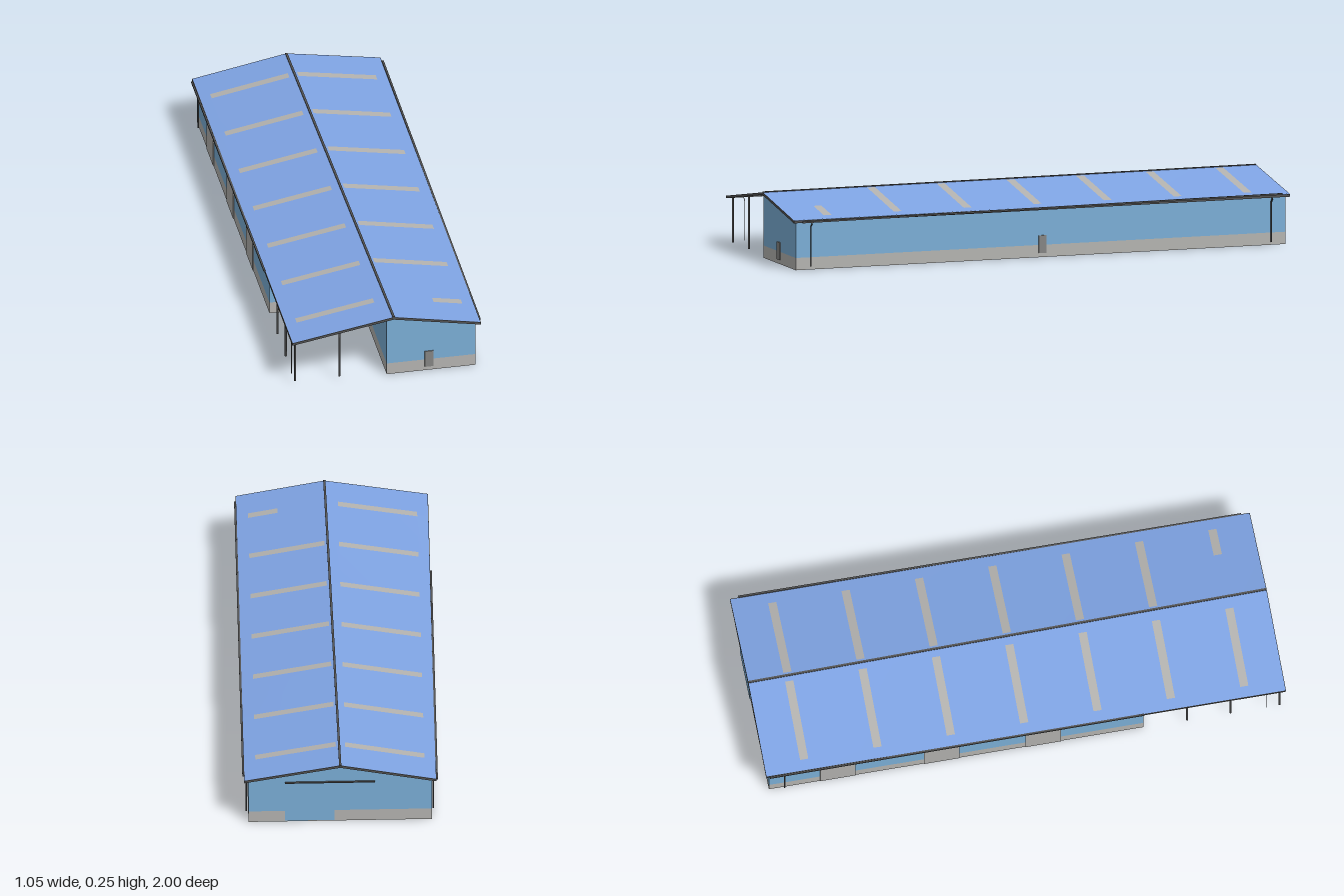
import * as THREE from 'three';

const mat = (name, color, side = THREE.FrontSide) => {
  const m = new THREE.MeshStandardMaterial({ color, side });
  m.name = name;
  return m;
};

export function createModel() {
  const root = new THREE.Group();
  root.name = 'longShed';
  const wallBlue = mat('wallBlue', 0x7cb0d8, THREE.DoubleSide);
  const plinthGrey = mat('plinthGrey', 0xb6b5b2, THREE.DoubleSide);
  const roofBlue = mat('roofBlue', 0x7fa4e4);
  const soffitGrey = mat('soffitGrey', 0x989896);
  const trimDark = mat('trimDark', 0x545454);
  const panelBeige = mat('panelBeige', 0xb3b2af);
  const doorGrey = mat('doorGrey', 0x868684);

  // Plan coordinates: u runs left wall to right wall, v runs back to front
  const P = (u, v, y = 0) =>
    new THREE.Vector3(-0.15 + 0.655 * u - 0.355 * v, y, -0.985 + 0.115 * u + 1.855 * v);
  const ridgeU = v => 0.5 + 0.04 * v;
  const roofY = (u, v) => {
    const r = ridgeU(v);
    return u < r ? 0.244 - 0.062 * (1 - u / r) : 0.244 - 0.057 * (u - r) / (1 - r);
  };
  const mix = THREE.MathUtils.lerp;

  const add = (name, geometry, material) => {
    const m = new THREE.Mesh(geometry, material);
    m.name = name;
    root.add(m);
    return m;
  };

  // Ruled sheet from f(s, t); its front is ds x dt; pick gives a cell its material
  function sheet(name, material, f, ns = 1, nt = 1, pick = null) {
    const pos = [], idx = [];
    const g = new THREE.BufferGeometry();
    for (let i = 0; i <= ns; i++)
      for (let j = 0; j <= nt; j++) pos.push(...f(i / ns, j / nt).toArray());
    for (let i = 0; i < ns; i++)
      for (let j = 0; j < nt; j++) {
        const a = i * (nt + 1) + j, b = a + nt + 1;
        if (pick) g.addGroup(idx.length, 6, pick(i, j));
        idx.push(a, b, b + 1, a, b + 1, a + 1);
      }
    g.setAttribute('position', new THREE.Float32BufferAttribute(pos, 3));
    g.setIndex(idx);
    g.computeVertexNormals();
    return add(name, g, material);
  }

  // Box bar from p to q
  function bar(name, material, p, q, w, h) {
    const m = add(name, new THREE.BoxGeometry(w, h, p.distanceTo(q)), material);
    m.position.copy(p).lerp(q, 0.5);
    m.lookAt(q);
  }

  // Plate set into a wall between two plan points
  function plate(name, material, a, b, y0, y1, thick) {
    const y = (y0 + y1) / 2;
    bar(name, material, P(...a, y), P(...b, y), thick, y1 - y0);
  }

  // Walls with plinth; the front left quarter is left open
  const BAND = 0.045;
  function wall(name, a, b) {
    const at = (s, y) => P(mix(a[0], b[0], s), mix(a[1], b[1], s), y);
    const top = s => roofY(mix(a[0], b[0], s), mix(a[1], b[1], s)) - 0.006;
    sheet(name + 'Plinth', plinthGrey, (s, t) => at(s, t * BAND));
    sheet(name, wallBlue, (s, t) => at(s, mix(BAND, top(s), t)), 4);
  }
  const inU = 0.504, inV = 0.73;
  wall('backWallRight', [1, 0], [ridgeU(0), 0]);
  wall('backWallLeft', [ridgeU(0), 0], [0, 0]);
  wall('leftWall', [0, 0], [0, inV]);
  wall('recessWall', [0, inV], [inU, inV]);
  wall('recessSideWall', [inU, inV], [inU, 1]);
  wall('frontWallLeft', [inU, 1], [ridgeU(1), 1]);
  wall('frontWallRight', [ridgeU(1), 1], [1, 1]);
  wall('rightWall', [1, 1], [1, 0]);

  // Rows across the roof: odd rows hold the roof light strips
  const V0 = -0.006, V1 = 1.006, OUT = 0.022;
  const rows = [V0];
  for (let i = 0; i < 7; i++) {
    const v = 0.0714 + 0.143 * i;
    rows.push(v - 0.008, v + 0.008);
  }
  rows.push(V1);
  const onRoof = (u, v, dy = 0) => P(u, v, roofY(u, v) + dy);
  const slopes = [
    {
      side: 'left', eave: -OUT,
      columns: v => [-OUT, 0.037, 0.47, ridgeU(v)],
      lit: (i, j) => i % 2 === 1 && j === 1,
    },
    {
      side: 'right', eave: 1 + OUT,
      columns: v => [ridgeU(v), ridgeU(v) + 0.018, 0.8, 0.96, 1 + OUT],
      lit: (i, j) => i % 2 === 1 && (j === 2 || (j === 1 && i < 13)),
    },
  ];

  // Roof slopes with strips, soffits, fascias and eave boards
  for (const { side, eave, columns, lit } of slopes) {
    const ns = rows.length - 1, nt = columns(0).length - 1;
    const point = (s, t, dy) => {
      const v = rows[Math.round(s * ns)];
      return onRoof(columns(v)[Math.round(t * nt)], v, dy);
    };
    sheet(side + 'Roof', [roofBlue, panelBeige], (s, t) => point(s, t, 0), ns, nt,
      (i, j) => (lit(i, j) ? 1 : 0));
    sheet(side + 'Soffit', soffitGrey, (t, s) => point(s, t, -0.006), nt, ns);
    for (const v of [V0, V1])
      bar(side + 'Fascia', trimDark, onRoof(eave, v, -0.005), onRoof(ridgeU(v), v, -0.005), 0.003, 0.009);
    bar(side + 'EaveBoard', trimDark, onRoof(eave, V0, -0.005), onRoof(eave, V1, -0.005), 0.004, 0.009);
  }
  bar('ridgeCap', trimDark, onRoof(ridgeU(V0), V0), onRoof(ridgeU(V1), V1), 0.008, 0.005);

  // Gutters, falling slightly toward their downpipes
  bar('leftGutter', trimDark, P(-0.028, 0, 0.172), P(-0.028, inV, 0.182), 0.007, 0.006);
  bar('rightGutter', trimDark, P(1.028, 0.99, 0.177), P(1.028, 0.01, 0.187), 0.007, 0.006);

  // Small doors in the front and right walls
  plate('frontDoor', doorGrey, [0.716, 1], [0.764, 1], 0.015, 0.08, 0.006);
  plate('sideDoor', doorGrey, [1, 0.488], [1, 0.504], 0.015, 0.08, 0.006);

  // Three large gates in the left wall
  for (const v of [0.1, 0.302, 0.5])
    plate('gate', panelBeige, [0, v], [0, v + 0.069], 0.003, 0.155, 0.006);

  // Sliding door on the back wall, hung from a rail
  plate('slidingDoor', wallBlue, [0.53, -0.001], [0.8, -0.001], 0.005, 0.165, 0.003);
  plate('slidingDoorRail', trimDark, [0.31, -0.003], [0.8, -0.003], 0.167, 0.171, 0.007);

  // Canopy posts
  for (const [u, v] of [[-0.003, 0.995], [-0.003, 0.9], [-0.003, 0.815], [0.243, 0.995]]) {
    const y0 = 0.008, y1 = roofY(u, v) - 0.006;
    const post = add('canopyPost', new THREE.CylinderGeometry(0.004, 0.004, y1 - y0, 8), trimDark);
    post.position.copy(P(u, v, (y0 + y1) / 2));
  }

  // Downpipes, bent in from the gutters
  const pipes = [
    [1.025, 1.01, 0.97, 0.002], [1.025, 1.01, 0.03, 0.003],
    [-0.025, -0.01, 0.03, 0.003], [-0.025, -0.01, 0.97, 0.0015],
  ];
  for (const [out, near, v, r] of pipes) {
    const path = new THREE.CatmullRomCurve3(
      [P(out, v, 0.176), P(out, v, 0.17), P(near, v, 0.16), P(near, v, 0.15), P(near, v, 0.012)]);
    add('downpipe', new THREE.TubeGeometry(path, 24, r, 6), trimDark);
  }
  return root;
}
